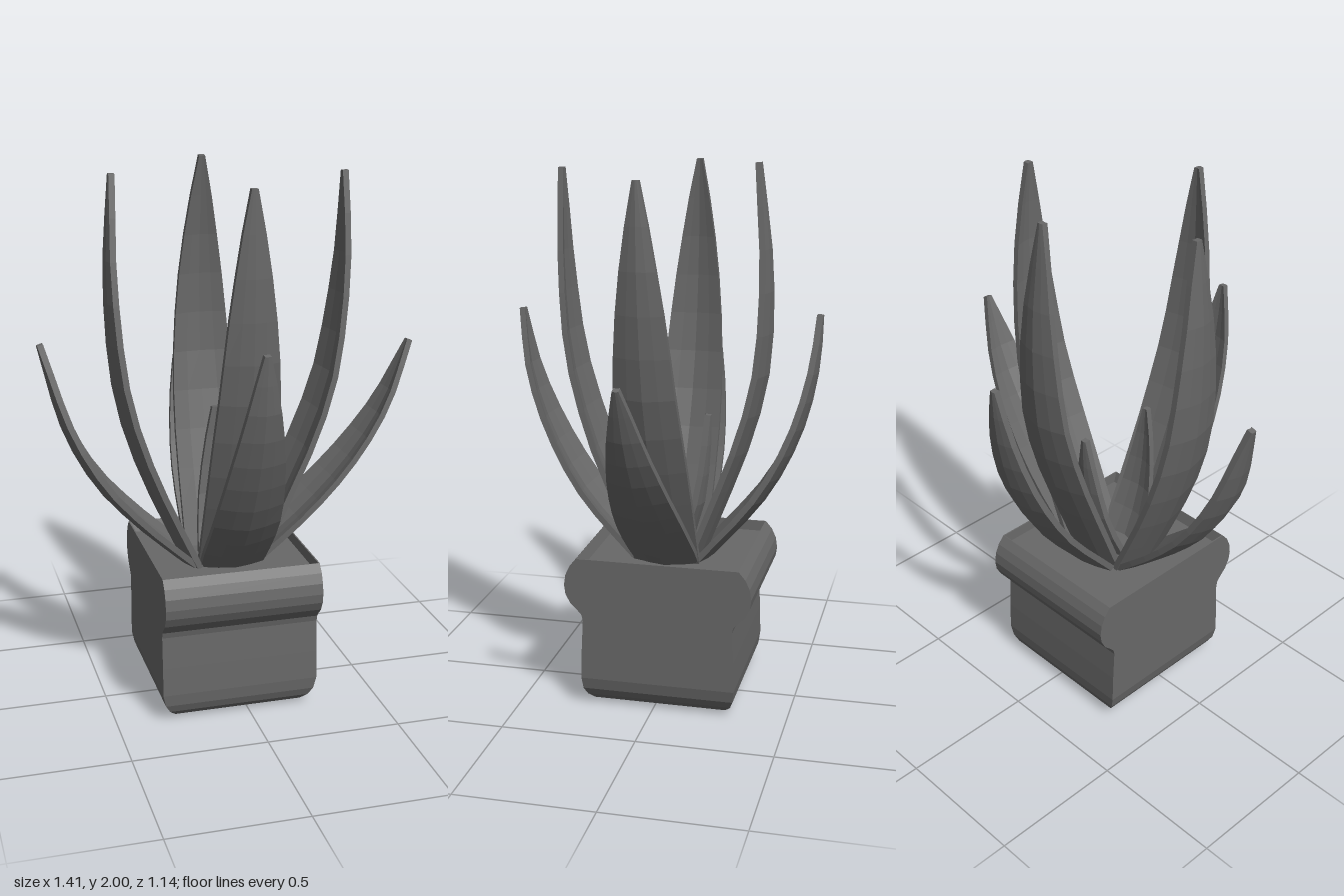
import * as THREE from 'three';

const material = new THREE.MeshStandardMaterial({ color: 0x686868, flatShading: true });

// Skin a stack of equal-sized rings and close both ends.
function loft(rings) {
  const n = rings[0].length, last = (rings.length - 1) * n, index = [];
  const quad = (a, b, c, d) => index.push(a, b, c, a, c, d);
  for (let i = 0; i < rings.length - 1; i++) {
    for (let j = 0; j < n; j++) {
      const k = (j + 1) % n;
      quad(i * n + j, i * n + k, (i + 1) * n + k, (i + 1) * n + j);
    }
  }
  for (let j = 0; j < n / 2 - 1; j++) {
    quad(n - 1 - j, n - 2 - j, j + 1, j);
    quad(last + j, last + j + 1, last + n - 2 - j, last + n - 1 - j);
  }
  const indexed = new THREE.BufferGeometry();
  indexed.setAttribute('position', new THREE.Float32BufferAttribute(rings.flat(2), 3));
  indexed.setIndex(index);
  const g = indexed.toNonIndexed();
  g.computeVertexNormals();
  return g;
}

// Square pot: rows of [height, half width x, half depth z], over the rim and down to the soil.
function pot() {
  const rows = [
    [0, 0.21, 0.22], [0.012, 0.243, 0.25], [0.035, 0.267, 0.272], [0.065, 0.285, 0.284], [0.11, 0.295, 0.289],
    [0.22, 0.295, 0.286], [0.34, 0.295, 0.28], [0.362, 0.295, 0.285], [0.38, 0.295, 0.301], [0.405, 0.295, 0.327],
    [0.44, 0.295, 0.345], [0.475, 0.295, 0.35], [0.515, 0.295, 0.344], [0.55, 0.295, 0.328],
    [0.58, 0.295, 0.303], [0.58, 0.29, 0.301], [0.54, 0.288, 0.286],
  ];
  const rings = rows.map(([y, x, z]) => [[x, y, z], [x, y, -z], [-x, y, -z], [-x, y, z]]);
  const mesh = new THREE.Mesh(loft(rings), material);
  mesh.position.set(-0.037, 0, -0.02);
  mesh.name = 'pot';
  return mesh;
}

// Cupped leaf along a path of [distance outwards, height], tapering to a blunt tip that leans sideways.
const across = [1, 0.5, 0, -0.5, -1];

function leaf(name, path, halfWidth, taper, lean) {
  const curve = new THREE.CatmullRomCurve3(path.map(([r, y]) => new THREE.Vector3(r, y, 0)));
  const rings = taper.map((f, i) => {
    const t = i / (taper.length - 1), w = halfWidth * f;
    const p = curve.getPointAt(t), d = curve.getTangentAt(t);
    const point = (u, thick) => {
      const o = 0.24 * w * (Math.abs(u) ** 1.4 - 0.5) + thick;
      return [p.x - d.y * o, p.y + d.x * o, u * w + lean * t];
    };
    return [...across.map((u) => point(u, -0.011)), ...across.map((u) => point(-u, 0.011))];
  });
  const mesh = new THREE.Mesh(loft(rings), material);
  mesh.name = name;
  return mesh;
}

// Each side: its turn, base position, lean and leaf paths.
const sides = [
  { name: 'left', angle: 0, x: 0, z: -0.02, lean: 0.027,
    tall: [[0.1, 0.535], [0.22, 0.8], [0.315, 1.02], [0.378, 1.22], [0.417, 1.5], [0.428, 1.7], [0.42, 1.97]],
    low: [[0.1, 0.54], [0.3, 0.715], [0.47, 0.9], [0.595, 1.09], [0.69, 1.33]] },
  { name: 'right', angle: Math.PI, x: 0, z: 0, lean: 0.03,
    tall: [[0.165, 0.535], [0.25, 0.72], [0.335, 0.92], [0.415, 1.2], [0.445, 1.6], [0.425, 1.98]],
    low: [[0.175, 0.54], [0.36, 0.71], [0.495, 0.865], [0.605, 1.07], [0.695, 1.39]] },
  { name: 'front', angle: -Math.PI / 2, x: -0.027, z: 0, lean: 0.005,
    tall: [[0.095, 0.535], [0.19, 0.75], [0.28, 0.97], [0.365, 1.28], [0.395, 1.6], [0.4, 1.97]],
    low: [[0.115, 0.54], [0.32, 0.77], [0.455, 1.01], [0.53, 1.23], [0.56, 1.45]],
    inner: [[0.05, 0.535], [0.115, 0.7], [0.15, 0.9], [0.16, 1.08]] },
  { name: 'back', angle: Math.PI / 2, x: -0.031, z: 0, lean: 0.005,
    tall: [[0.115, 0.535], [0.19, 0.73], [0.28, 0.97], [0.35, 1.24], [0.365, 1.6], [0.325, 2]],
    low: [[0.145, 0.54], [0.36, 0.8], [0.48, 1.04], [0.54, 1.28], [0.555, 1.47]],
    inner: [[0.045, 0.535], [0.11, 0.7], [0.142, 0.9], [0.15, 1.08]] },
];
const tallTaper = [1, 1, 1, 0.99, 0.95, 0.88, 0.79, 0.67, 0.51, 0.32, 0.09];
const lowTaper = [0.97, 1, 1, 0.98, 0.93, 0.85, 0.75, 0.62, 0.47, 0.29, 0.09];
const innerTaper = [1, 0.91, 0.78, 0.6, 0.38, 0.12];

export function createModel() {
  const group = new THREE.Group();
  group.name = 'pottedPlant';
  group.add(pot());

  for (const { name, angle, x, z, lean, tall, low, inner } of sides) {
    const side = new THREE.Group();
    side.name = name + 'Leaves';
    side.rotation.y = angle;
    side.position.set(x, 0, z);
    side.add(leaf(name + 'TallLeaf', tall, 0.125, tallTaper, lean));
    side.add(leaf(name + 'LowLeaf', low, 0.125, lowTaper, lean));
    if (inner) side.add(leaf(name + 'InnerLeaf', inner, 0.09, innerTaper, lean));
    group.add(side);
  }
  return group;
}
